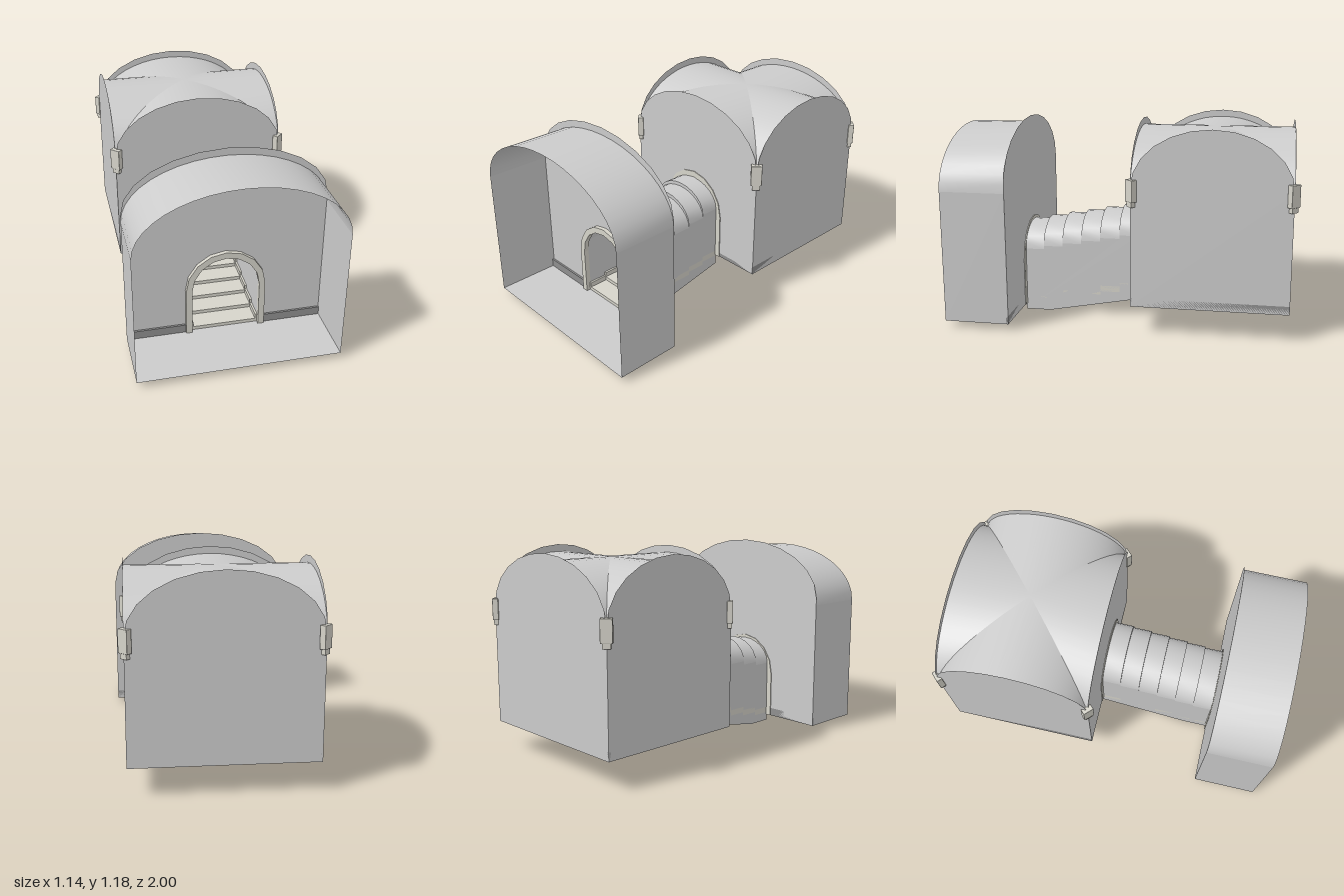
import * as THREE from 'three';
import { RoundedBoxGeometry } from 'three/addons/geometries/RoundedBoxGeometry.js';

const V = (x, y, z) => new THREE.Vector3(x, y, z);
const paint = (color) => new THREE.MeshStandardMaterial({ color, side: THREE.DoubleSide });
const PLASTER = paint(0xcccccc), STONE = paint(0xd6d4ca), SKIRT = paint(0x8f8f8f);

// Points of a half ellipse from +half to -half, as [across, y]
function arch(half, springY, rise, segments = 12) {
  return Array.from({ length: segments + 1 }, (_, i) => {
    const t = (i / segments) * Math.PI;
    return [half * Math.cos(t), springY + rise * Math.sin(t)];
  });
}

const toShape = (points) => new THREE.Shape(points.map(([x, y]) => new THREE.Vector2(x, y)));

// Sheet spanned between two polylines of equal length
function strip(a, b) {
  const pos = [], index = [];
  a.forEach((p, i) => {
    pos.push(...p.toArray(), ...b[i].toArray());
    if (i > 0) index.push(2 * i - 2, 2 * i - 1, 2 * i, 2 * i - 1, 2 * i + 1, 2 * i);
  });
  const g = new THREE.BufferGeometry();
  g.setAttribute('position', new THREE.Float32BufferAttribute(pos, 3));
  g.setIndex(index);
  g.computeVertexNormals();
  return g;
}

function add(parent, name, geometry, material = PLASTER) {
  const mesh = new THREE.Mesh(geometry, material);
  mesh.name = name;
  parent.add(mesh);
  return mesh;
}

function box(parent, name, x0, x1, y0, y1, z0, z1, material) {
  const g = new THREE.BoxGeometry(x1 - x0, y1 - y0, z1 - z0);
  g.translate((x0 + x1) / 2, (y0 + y1) / 2, (z0 + z1) / 2);
  return add(parent, name, g, material);
}

// Outline of a doorway, from its right foot over the arch to its left foot
function doorway(half, floorY, rise) {
  return [[half, floorY], ...arch(half, floorY + 0.28, rise, 8), [-half, floorY]];
}

// Wall with an arched top; an optional doorway is notched into its foot
function gable(half, floorY, door = []) {
  const foot = [...door].reverse();
  return new THREE.ShapeGeometry(toShape([
    [-half, floorY], ...foot, [half, floorY], ...arch(half, 0.85, 0.33),
  ]));
}

// Raised stone frame round a doorway
function doorFrame(parent, floorY, z) {
  const outline = [...doorway(0.23, floorY, 0.235), ...doorway(0.195, floorY, 0.198).reverse()];
  const g = new THREE.ExtrudeGeometry(toShape(outline), { depth: 0.03, bevelEnabled: false });
  add(parent, 'doorFrame', g, STONE).position.z = z;
}

const SPRING = 0.805, RISE = 0.332;

// Front hall: open-fronted barrel-vaulted room
function frontHall() {
  const room = new THREE.Group();
  room.name = 'frontHall';
  const w = 0.572, y0 = 0.037, z0 = 0.62, z1 = 1;
  add(room, 'hallBackWall', gable(w, y0, doorway(0.195, y0, 0.198))).position.z = z0;
  const profile = arch(w, SPRING, RISE, 20);
  add(room, 'barrelVault', strip(profile.map(([x, y]) => V(x, y, z0)), profile.map(([x, y]) => V(x, y, z1))));
  for (const s of [-1, 1]) {
    add(room, 'hallSideWall', strip([V(s * w, y0, z0), V(s * w, SPRING, z0)], [V(s * w, y0, z1), V(s * w, SPRING, z1)]));
    const [a, b] = s > 0 ? [0.23, w] : [-w, -0.23];
    box(room, 'hallSkirting', a, b, y0, 0.086, z0, z0 + 0.012, SKIRT);
  }
  add(room, 'hallFloor', strip([V(-w, y0, z0), V(w, y0, z0)], [V(-w, y0, z1), V(w, y0, z1)]));
  doorFrame(room, y0, z0 - 0.005);
  return room;
}

// Passage: stairs under six stepped vault bays
function passage() {
  const group = new THREE.Group();
  group.name = 'passage';
  const n = 6, zFront = 0.62, zBack = -0.08, depth = (zFront - zBack) / n, up = 0.0215, w = 0.196;
  const zAt = (i) => zFront - i * depth;
  const bay = (i, z) => arch(w, 0.387 + i * up, 0.145, 12).map(([x, y]) => V(x, y, z));
  const wallTop = [], treads = [];
  for (let i = 0; i < n; i++) {
    add(group, 'bayVault', strip(bay(i, zAt(i)), bay(i, zAt(i + 1))));
    if (i > 0) add(group, 'bayRiser', strip(bay(i - 1, zAt(i)), bay(i, zAt(i))));
    const spring = 0.387 + i * up, tread = 0.0575 + i * up;
    wallTop.push([zAt(i), spring], [zAt(i + 1), spring]);
    treads.push([zAt(i), tread - up, tread]);
    // Tread, riser and the skirting pieces at both ends of the step
    add(group, 'tread', strip([V(-w, tread, zAt(i)), V(w, tread, zAt(i))], [V(-w, tread, zAt(i + 1)), V(w, tread, zAt(i + 1))]), STONE);
    add(group, 'riser', strip([V(-w, tread - up, zAt(i)), V(w, tread - up, zAt(i))], [V(-w, tread, zAt(i)), V(w, tread, zAt(i))]), STONE);
    for (const s of [-1, 1]) {
      const xs = [s * 0.184, s * w].sort((a, b) => a - b);
      box(group, 'stairSkirting', xs[0], xs[1], tread - 0.005, tread + 0.03, zAt(i + 1), zAt(i), STONE);
    }
  }
  // Side walls with a stepped top and a sloping foot
  const side = toShape([[zFront, 0], ...wallTop, [zBack, 0.102], [0.47, 0]]);
  for (const s of [-1, 1]) {
    const g = new THREE.ShapeGeometry(side);
    g.rotateY(-Math.PI / 2);
    add(group, 'passageWall', g).position.x = s * w;
  }
  return group;
}

// Back chamber: four gabled walls under a groin vault
function backChamber() {
  const room = new THREE.Group();
  room.name = 'backChamber';
  const a = 0.508, b = 0.445, y0 = 0.165, door = doorway(0.195, y0, 0.198);
  room.position.z = -0.525;
  add(room, 'chamberFrontWall', gable(a, y0, door)).position.z = b;
  add(room, 'chamberBackWall', gable(a, y0)).position.z = -b;
  for (const s of [-1, 1]) {
    const wall = add(room, 'chamberSideWall', gable(b, y0));
    wall.rotation.y = s * Math.PI / 2;
    wall.position.x = s * a;
  }
  add(room, 'chamberFloor', strip([V(-a, y0, -b), V(a, y0, -b)], [V(-a, y0, b), V(a, y0, b)]));

  // Each vault web runs from a wall arch in to the diagonal groins
  const unit = arch(1, SPRING, RISE, 24);
  for (const s of [-1, 1]) {
    add(room, 'vaultWeb', strip(
      unit.map(([t, y]) => V(a * t, y, s * b)),
      unit.map(([t, y]) => V(a * t, y, s * b * Math.abs(t)))));
    add(room, 'vaultWeb', strip(
      unit.map(([t, y]) => V(s * a, y, b * t)),
      unit.map(([t, y]) => V(s * a * Math.abs(t), y, b * t))));
  }

  // Skirting inside the walls
  const top = y0 + 0.05, t = 0.012;
  box(room, 'chamberSkirting', -a, a, y0, top, -b, -b + t, SKIRT);
  for (const s of [-1, 1]) {
    const [x0, x1] = s > 0 ? [a - t, a] : [-a, -a + t];
    box(room, 'chamberSkirting', x0, x1, y0, top, -b, b, SKIRT);
    const [f0, f1] = s > 0 ? [0.23, a] : [-a, -0.23];
    box(room, 'chamberSkirting', f0, f1, y0, top, b - t, b, SKIRT);
  }
  doorFrame(room, y0, b - 0.025);

  // Corbels at the four corners, turned to face the diagonals
  for (const sx of [-1, 1]) for (const sz of [-1, 1]) {
    const corbel = new THREE.Group();
    corbel.name = 'cornerCorbel';
    add(corbel, 'corbelBlock', new RoundedBoxGeometry(0.064, 0.125, 0.034, 1, 0.003), STONE).position.y = 0.833;
    box(corbel, 'corbelFoot', -0.022, 0.022, 0.742, 0.772, -0.012, 0.012, STONE);
    corbel.position.set(sx * (a - 0.006), 0, sz * (b - 0.004));
    corbel.rotation.y = sx * sz * Math.PI / 4;
    room.add(corbel);
  }
  return room;
}

export function createModel() {
  const model = new THREE.Group();
  model.name = 'vaultedRooms';
  model.add(frontHall(), passage(), backChamber());
  return model;
}
